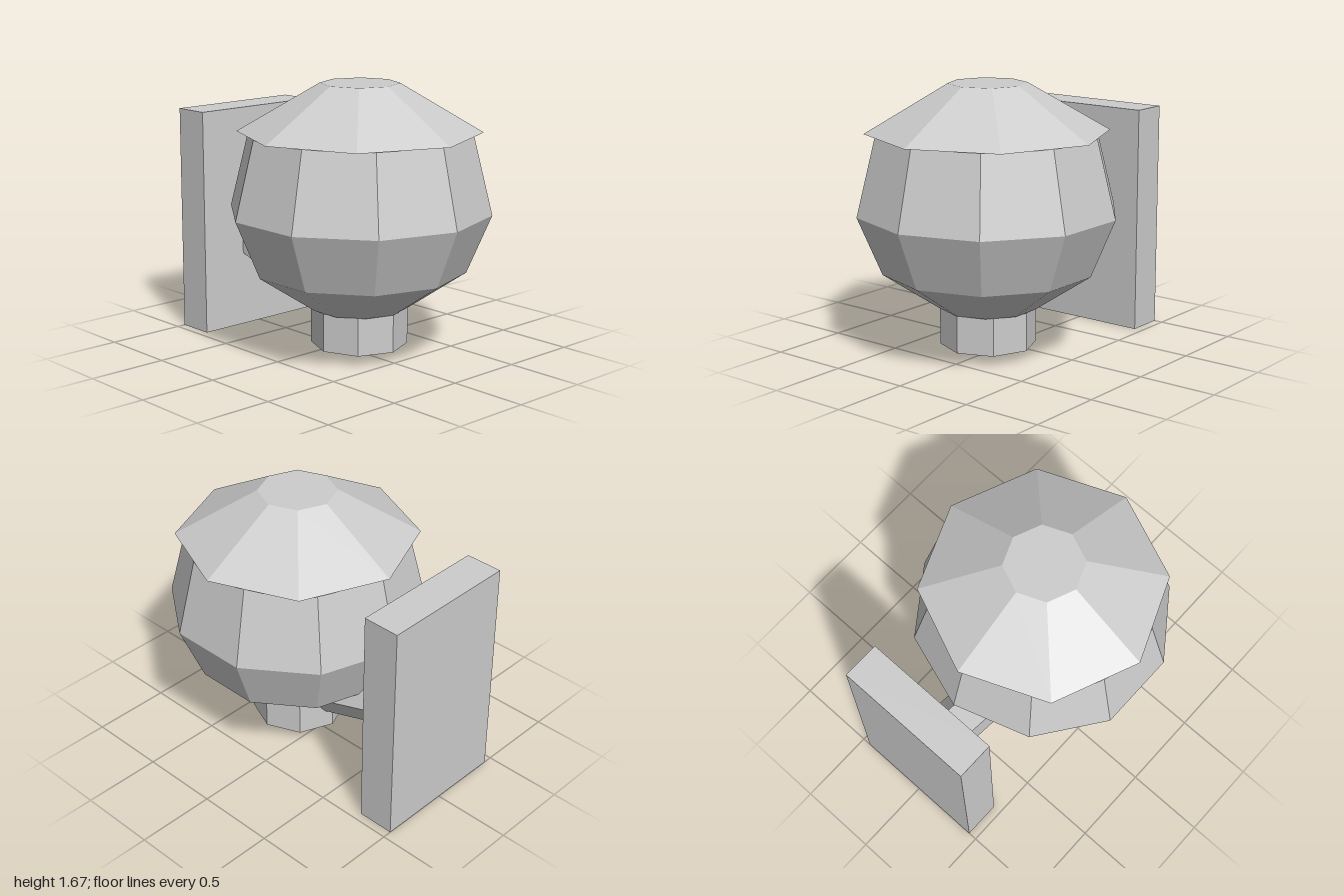
import * as THREE from 'three';

// Split the faces so every facet gets its own flat normal
function faceted(geometry) {
  const flat = geometry.index ? geometry.toNonIndexed() : geometry;
  flat.computeVertexNormals();
  return flat;
}

function lathe(profile, sides) {
  const points = profile.map(([r, y]) => new THREE.Vector2(r, y));
  return faceted(new THREE.LatheGeometry(points, sides));
}

export function createModel() {
  const model = new THREE.Group();
  model.name = 'wallLamp';
  const grey = new THREE.MeshStandardMaterial({ color: 0xcccccc, side: THREE.DoubleSide });
  grey.name = 'light grey';

  function add(name, geometry, x, y, z) {
    const mesh = new THREE.Mesh(geometry, grey);
    mesh.name = name;
    mesh.position.set(x, y, z);
    model.add(mesh);
    return mesh;
  }

  const lampZ = 0.192;

  // Ten-sided globe, open at both ends
  add('globe', lathe([[0.3, 0.3], [0.655, 0.54], [0.805, 0.9], [0.686, 1.38]], 10), 0, 0, lampZ);

  // Eight-sided sloping cap with a flat top
  add('cap', lathe([[0.742, 1.38], [0.24, 1.675], [0, 1.675]], 8), 0, 0, lampZ);

  // Open collar under the globe
  add('collar', lathe([[0.297, 0.065], [0.297, 0.302]], 8), 0, 0, lampZ);

  // Wall plate
  add('wallPlate', new THREE.BoxGeometry(0.89, 1.435, 0.236), 0, 0.7175, -0.882);

  // Five-sided arm rising from the collar to the wall plate
  const start = new THREE.Vector3(0, 0.338, -0.038);
  const end = new THREE.Vector3(0, 0.609, -0.85);
  const axis = end.clone().sub(start);
  const middle = start.clone().add(end).multiplyScalar(0.5);
  const armGeometry = faceted(
    new THREE.CylinderGeometry(0.165, 0.165, axis.length(), 5, 1, false, Math.PI / 2));
  const arm = add('arm', armGeometry, middle.x, middle.y, middle.z);
  arm.quaternion.setFromUnitVectors(new THREE.Vector3(0, 1, 0), axis.normalize());

  return model;
}
